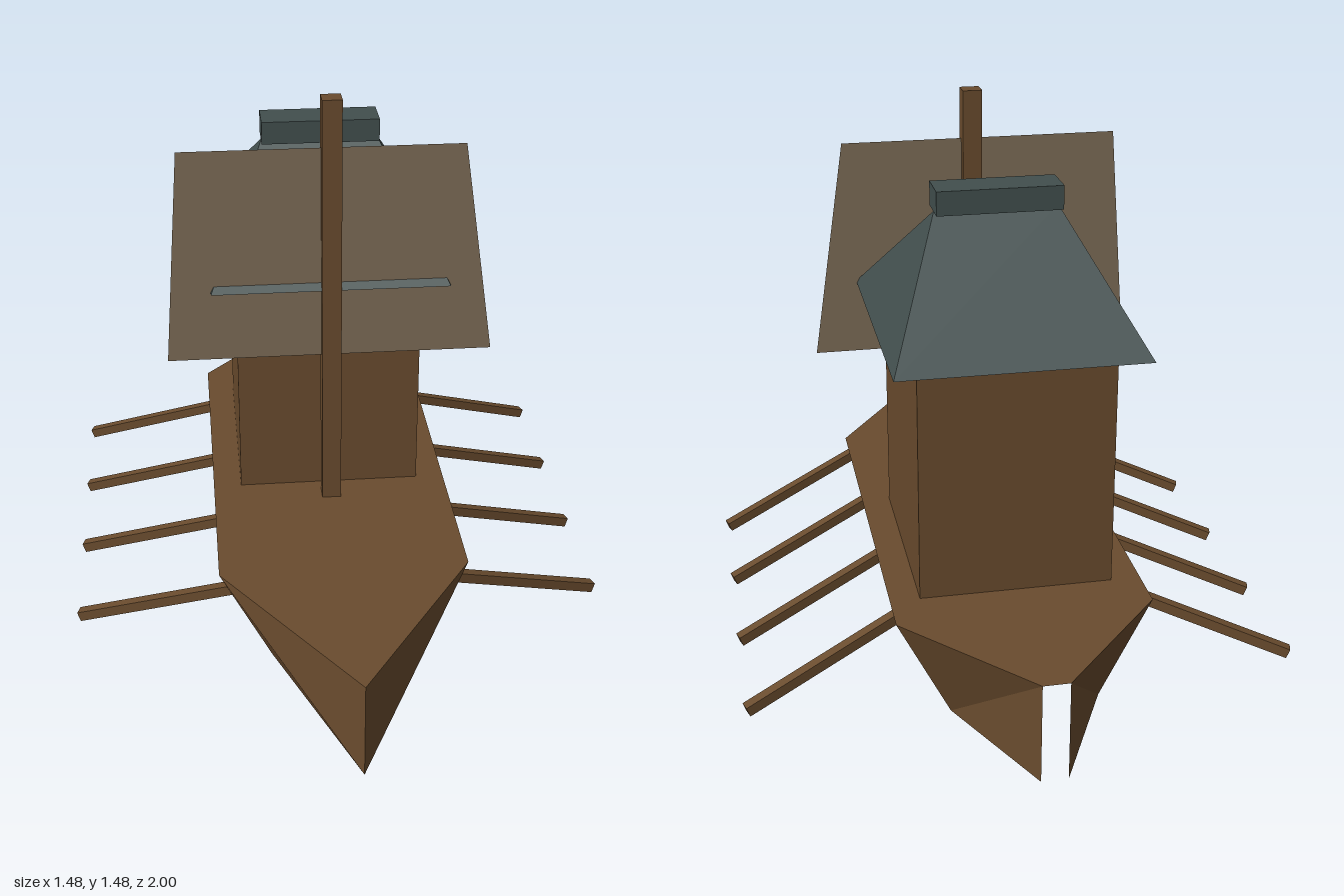
import * as THREE from 'three';

const wood = new THREE.MeshStandardMaterial({ color: 0x6a4c2e, side: THREE.DoubleSide });
wood.name = 'wood';
const slate = new THREE.MeshStandardMaterial({ color: 0x424f4e });
slate.name = 'slate';
const canvas = new THREE.MeshStandardMaterial({ color: 0x7e6d57, side: THREE.DoubleSide });
canvas.name = 'canvas';

const DECK_Y = 0.275;
// Half outlines [x, z] from bow to stern, at the deck and at the keel
const deckLine = [[0, 1], [0.34, 0.5], [0.34, -0.66], [0.035, -1]];
const keelLine = [[0, 1], [0.2, 0.5], [0.2, -0.66], [0.035, -1]];

function add(parent, name, geometry, material, x = 0, y = 0, z = 0) {
  const mesh = new THREE.Mesh(geometry, material);
  mesh.name = name;
  mesh.position.set(x, y, z);
  parent.add(mesh);
  return mesh;
}

function faceted(geometry) {
  const g = geometry.index ? geometry.toNonIndexed() : geometry;
  g.computeVertexNormals();
  return g;
}

// One flared hull side, two triangles per panel, open below and at the stern
function hullSide(side) {
  const points = [];
  const top = (i) => [side * deckLine[i][0], DECK_Y, deckLine[i][1]];
  const low = (i) => [side * keelLine[i][0], 0, keelLine[i][1]];
  for (let i = 0; i < deckLine.length - 1; i++) {
    const tris = [[top(i), low(i), top(i + 1)], [low(i), low(i + 1), top(i + 1)]];
    for (const t of tris) points.push(...(side > 0 ? t : t.reverse()).flat());
  }
  const g = new THREE.BufferGeometry();
  g.setAttribute('position', new THREE.Float32BufferAttribute(points, 3));
  return faceted(g);
}

function flatShape(points) {
  return new THREE.ShapeGeometry(new THREE.Shape(points.map(([x, y]) => new THREE.Vector2(x, y))));
}

// Hipped roof: a box whose top is pinched into a ridge
function roofGeometry(w, h, d, ridge) {
  const g = new THREE.BoxGeometry(w, h, d);
  const p = g.attributes.position;
  for (let i = 0; i < p.count; i++) {
    if (p.getY(i) > 0) {
      p.setX(i, Math.sign(p.getX(i)) * ridge / 2);
      p.setZ(i, 0);
    }
  }
  return faceted(g);
}

export function createModel() {
  const ship = new THREE.Group();
  ship.name = 'ship';

  // Hull and deck
  const hull = new THREE.Group();
  hull.name = 'hull';
  ship.add(hull);
  add(hull, 'leftHullSide', hullSide(1), wood);
  add(hull, 'rightHullSide', hullSide(-1), wood);
  const outline = [
    ...deckLine.map(([x, z]) => [x, -z]),
    ...deckLine.slice(1).reverse().map(([x, z]) => [-x, -z]),
  ];
  add(hull, 'deck', flatShape(outline).rotateX(-Math.PI / 2), wood, 0, DECK_Y, 0);

  // Cabin: four walls, reaching a little below the deck
  const r = Math.SQRT1_2;
  const walls = new THREE.CylinderGeometry(r, r, 1, 4, 1, true, Math.PI / 4).scale(0.52, 0.785, 0.59);
  add(ship, 'cabinWalls', faceted(walls), wood, 0, 0.5425, -0.245);

  // Roof and ridge cap
  add(ship, 'roof', roofGeometry(0.66, 0.31, 0.765, 0.33), slate, 0, 1.09, -0.25);
  add(ship, 'roofCap', new THREE.BoxGeometry(0.335, 0.065, 0.11), slate, 0, 1.2775, -0.25);

  // Mast and slightly skewed sail
  add(ship, 'mast', new THREE.BoxGeometry(0.054, 1.21, 0.054), wood, 0, 0.875, 0.112);
  add(ship, 'sail', flatShape([[-0.455, 0.73], [0.452, 0.73], [0.362, 1.342], [-0.41, 1.342]]), canvas, 0, 0, 0.112);

  // Oars, four per side, swept down and back
  for (const side of [1, -1]) {
    for (let i = 0; i < 4; i++) {
      const z = 0.36 - i * 0.34;
      const inner = new THREE.Vector3(side * 0.29, 0.235, z + 0.14);
      const tip = new THREE.Vector3(side * 0.73, 0.07, z);
      const mid = inner.clone().add(tip).multiplyScalar(0.5);
      const oar = add(ship, side > 0 ? 'leftOar' : 'rightOar',
        new THREE.BoxGeometry(0.028, 0.028, inner.distanceTo(tip)), wood, mid.x, mid.y, mid.z);
      oar.lookAt(tip);
    }
  }
  return ship;
}
